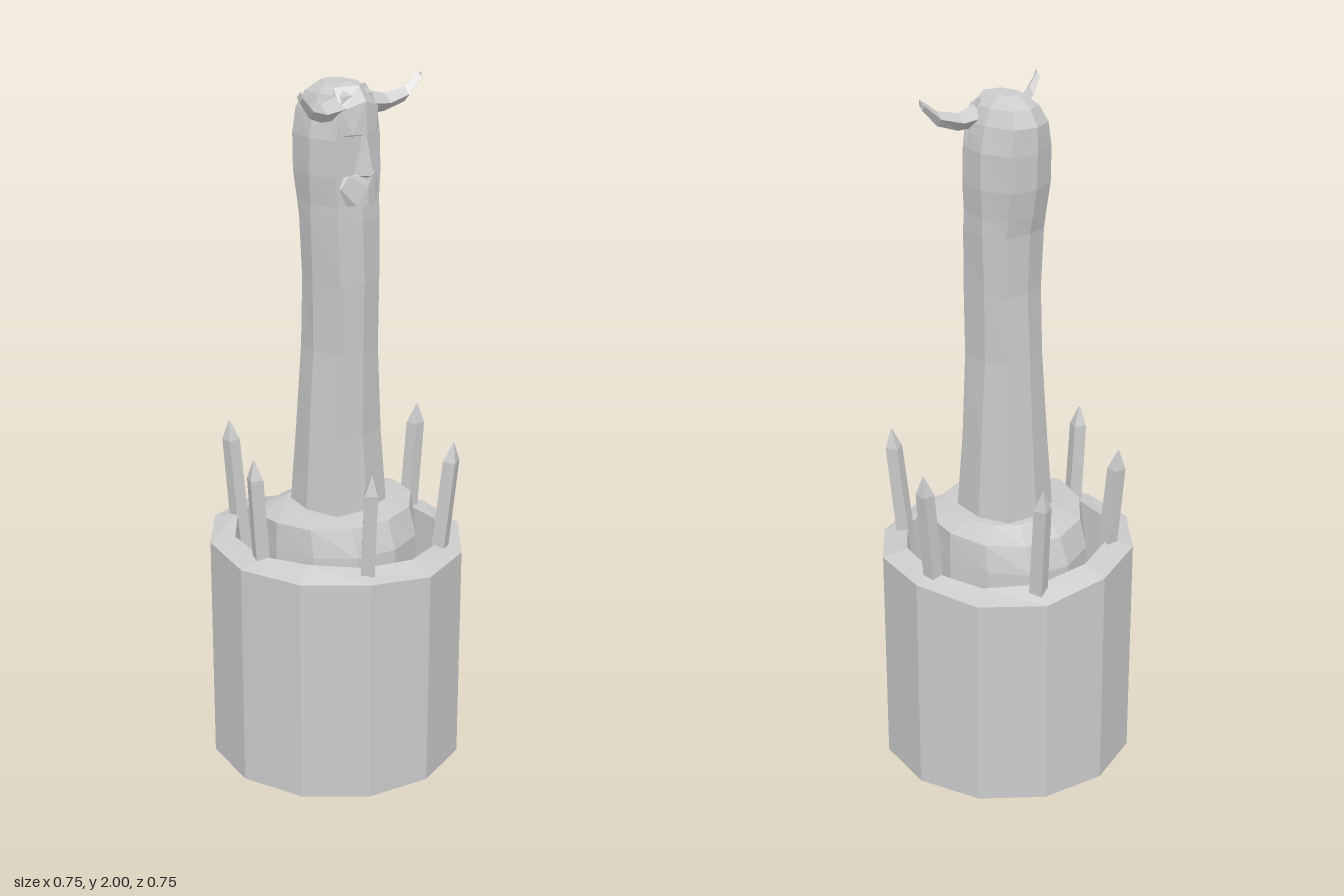
import * as THREE from 'three';
import { ConvexGeometry } from 'three/addons/geometries/ConvexGeometry.js';

const V = (x, y, z) => new THREE.Vector3(x, y, z);
const material = new THREE.MeshStandardMaterial({ color: 0xcccccc, flatShading: true, side: THREE.DoubleSide });

// Skin between rings of points (each ring runs from +x towards +z), with optional end caps
function loft(rings, capStart, capEnd) {
  const n = rings[0].length, pos = [], idx = [];
  rings.forEach(r => r.forEach(p => pos.push(p.x, p.y, p.z)));
  for (let r = 0; r < rings.length - 1; r++) {
    for (let i = 0; i < n; i++) {
      const j = (i + 1) % n, a = r * n + i, b = r * n + j, c = b + n, d = a + n;
      idx.push(a, d, c, a, c, b);
    }
  }
  const cap = (r, flip) => {
    const mid = rings[r].reduce((s, p) => s.add(p), V(0, 0, 0)).divideScalar(n);
    const m = pos.length / 3;
    pos.push(mid.x, mid.y, mid.z);
    for (let i = 0; i < n; i++) {
      const a = r * n + i, b = r * n + (i + 1) % n;
      idx.push(m, ...(flip ? [a, b] : [b, a]));
    }
  };
  if (capStart) cap(0, true);
  if (capEnd) cap(rings.length - 1, false);
  const g = new THREE.BufferGeometry();
  g.setAttribute('position', new THREE.Float32BufferAttribute(pos, 3));
  g.setIndex(idx);
  g.computeVertexNormals();
  return g;
}

// Twelve-sided ring; y may vary around it
const ring12 = (r, y, rz = r) => Array.from({ length: 12 }, (_, i) => {
  const a = i * Math.PI / 6;
  return V(r * Math.cos(a), typeof y === 'function' ? y(i) : y, rz * Math.sin(a));
});

// Eight-sided body section: half width w, front f, back b
const section = ([y, w, f, b]) => [
  V(w, y, 0), V(w * 0.82, y, f * 0.85), V(0, y, f), V(-w * 0.82, y, f * 0.85),
  V(-w, y, 0), V(-w * 0.78, y, b * 0.8), V(0, y, b), V(w * 0.78, y, b * 0.8),
];

export function createModel() {
  const model = new THREE.Group();
  const add = (name, geometry, parent = model) => {
    const mesh = new THREE.Mesh(geometry, material);
    mesh.name = name;
    parent.add(mesh);
    return mesh;
  };

  // Hollow stone base: outer wall, uneven rim, funnel-shaped inner wall
  const outerY = [0.66, 0.66, 0.65, 0.65, 0.67, 0.67, 0.67, 0.68, 0.68, 0.67, 0.64, 0.64];
  const innerY = [0.67, 0.68, 0.67, 0.68, 0.69, 0.7, 0.69, 0.69, 0.7, 0.69, 0.67, 0.66];
  add('stoneBase', loft([
    ring12(0.375, 0), ring12(0.375, i => outerY[i]),
    ring12(0.302, i => innerY[i]), ring12(0.25, 0.16),
  ]));

  // Plinth under the statue, lower towards the back
  const tilt = y => i => y - 0.03 * Math.max(0, -Math.sin(i * Math.PI / 6));
  add('plinth', loft([
    ring12(0.236, 0.3), ring12(0.239, tilt(0.69)),
    ring12(0.237, tilt(0.772), 0.208), ring12(0.15, 0.78, 0.14),
  ], true, true));

  // Long column body rising into a rounded head
  add('body', loft([
    [0.75, 0.122, 0.125, -0.118], [1.0, 0.107, 0.108, -0.1], [1.25, 0.09, 0.108, -0.088],
    [1.45, 0.092, 0.11, -0.078], [1.62, 0.098, 0.104, -0.085], [1.67, 0.098, 0.1, -0.095],
    [1.75, 0.104, 0.1, -0.108], [1.85, 0.102, 0.098, -0.112], [1.92, 0.087, 0.1, -0.11],
    [1.965, 0.066, 0.096, -0.085], [1.995, 0.036, 0.06, -0.04],
  ].map(section), true, true));

  // Face: pointed forehead, nose, cheeks and muzzle
  const face = new THREE.Group();
  face.name = 'face';
  model.add(face);
  const mirrored = pts => pts.flatMap(([x, y, z]) => (x ? [V(x, y, z), V(-x, y, z)] : [V(0, y, z)]));
  const solid = (name, pts) => add(name, new ConvexGeometry(mirrored(pts)), face);
  solid('forehead', [[0, 1.99, 0.085], [0.06, 1.985, 0.05], [0.07, 1.93, 0.09], [0.045, 1.865, 0.108],
    [0.088, 1.86, 0.07], [0, 1.86, 0.118], [0, 1.95, 0.112], [0, 1.9, 0.02]]);
  solid('nose', [[0, 1.86, 0.115], [0, 1.86, 0.08], [0.028, 1.75, 0.09], [0, 1.755, 0.142], [0, 1.74, 0.1]]);
  solid('muzzle', [[0, 1.75, 0.11], [0.05, 1.755, 0.1], [0.072, 1.72, 0.09], [0.035, 1.672, 0.115],
    [0, 1.672, 0.124], [0, 1.72, 0.122], [0.07, 1.67, 0.06], [0.09, 1.74, 0.06]]);

  // Curved horns: four-sided sections [x, y, z, half height, half depth]
  const hornSections = [
    [0.05, 1.935, 0.06, 0.034, 0.036], [0.12, 1.927, 0.065, 0.024, 0.024],
    [0.18, 1.944, 0.083, 0.02, 0.017], [0.224, 1.985, 0.093, 0.013, 0.011], [0.226, 1.999, 0.099, 0.002, 0.002],
  ];
  for (const side of [1, -1]) {
    const rings = hornSections.map(([x, y, z, h, d]) => {
      const pts = [V(x, y + h, z), V(x, y, z + d), V(x, y - h, z), V(x, y, z - d)];
      pts.forEach(p => { p.x *= side; });
      return side > 0 ? pts : pts.reverse();
    });
    add(side > 0 ? 'leftHorn' : 'rightHorn', loft(rings, true, true));
  }

  // Leaning stakes driven through the rim: [tip x, tip z]
  const stakes = new THREE.Group();
  stakes.name = 'stakes';
  model.add(stakes);
  const tips = [[0.34, 0], [0.175, 0.295], [-0.17, 0.31], [-0.32, 0], [-0.158, -0.285], [0.185, -0.305]];
  tips.forEach(([tx, tz], k) => {
    const a = Math.atan2(tz, tx);
    const foot = V(0.26 * Math.cos(a), 0.18, 0.26 * Math.sin(a)), tip = V(tx, 0.985, tz);
    const square = (t, h) => {
      const c = foot.clone().lerp(tip, t);
      return [0, 1, 2, 3].map(i => {
        const q = a + k * 0.15 + Math.PI / 4 + i * Math.PI / 2;
        return V(c.x + h * Math.cos(q), c.y, c.z + h * Math.sin(q));
      });
    };
    add('stake', loft([square(0, 0.03), square(0.93, 0.026), square(1, 0.002)], true, true), stakes);
  });

  return model;
}
